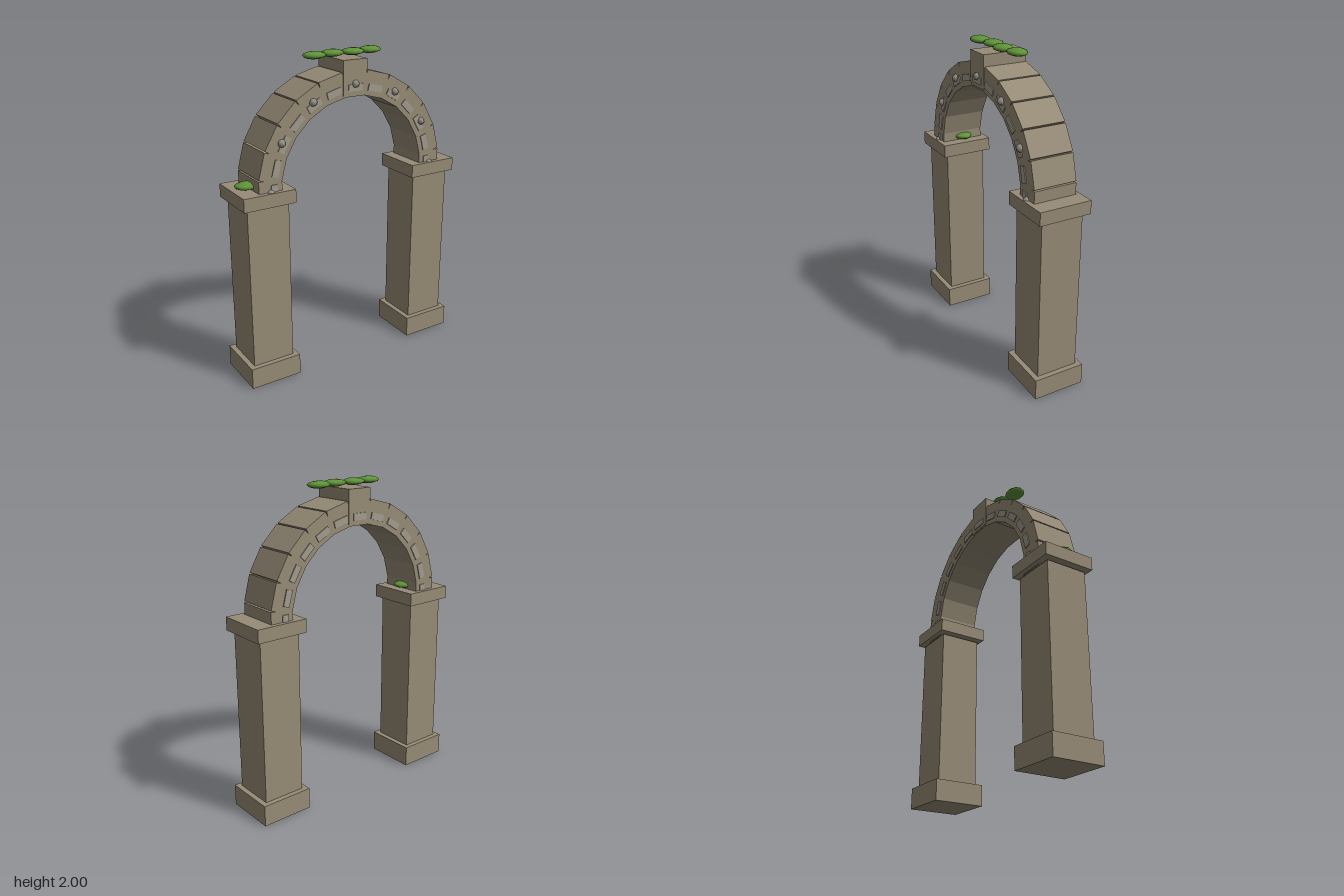
import * as THREE from 'three';

export function createModel() {
  const model = new THREE.Group();
  model.name = 'stoneArch';
  const mat = (color) => new THREE.MeshStandardMaterial({ color });
  const stone = mat(0x978c77), inlay = mat(0xa39d8f), studStone = mat(0x96928a), leafGreen = mat(0x5f9438);

  const add = (parent, name, geometry, material, x, y, z) => {
    const mesh = new THREE.Mesh(geometry, material);
    mesh.name = name;
    mesh.position.set(x, y, z);
    parent.add(mesh);
    return mesh;
  };
  const box = (w, h, d) => new THREE.BoxGeometry(w, h, d);

  // Pillars: plinth, six stacked blocks, capital
  const blocks = 6, shaftBottom = 0.135, shaftTop = 1.15;
  const blockHeight = (shaftTop - shaftBottom) / blocks;
  for (const side of [-1, 1]) {
    const pillar = new THREE.Group();
    pillar.name = side > 0 ? 'leftPillar' : 'rightPillar';
    pillar.position.x = side * 0.593;
    model.add(pillar);
    add(pillar, 'plinth', box(0.335, 0.135, 0.335), stone, 0, 0.0675, 0);
    for (let i = 0; i < blocks; i++) {
      add(pillar, 'shaftBlock', box(0.27, blockHeight, 0.27), stone, 0, shaftBottom + (i + 0.5) * blockHeight, 0);
    }
    add(pillar, 'capital', box(0.335, 0.083, 0.335), stone, 0, 1.203, 0);
  }

  // Arch ring: wedge stones every 15 degrees, with inlays and studs
  const centreY = 1.236;
  const stoneGeo = box(0.15, 0.162, 0.276);
  const inlayGeo = box(0.042, 0.1, 0.012);
  const studGeo = new THREE.SphereGeometry(0.024, 8, 6);
  for (let i = 0; i <= 12; i++) {
    const isKey = i === 6;
    const voussoir = new THREE.Group();
    voussoir.name = 'archStone' + i;
    voussoir.position.y = centreY;
    voussoir.rotation.z = (i * Math.PI) / 12;
    model.add(voussoir);
    add(voussoir, 'wedge', stoneGeo, stone, 0.575, 0, 0);
    for (const face of [-1, 1]) {
      add(voussoir, 'inlay', inlayGeo, inlay, 0.553, 0, face * (isKey ? 0.141 : 0.138));
    }
    if (i % 2 === 0) add(voussoir, 'stud', studGeo, studStone, 0.575, 0, 0.141);
  }
  add(model, 'keystone', box(0.165, 0.208, 0.284), stone, 0, 1.85, 0);

  // Leaves: a row over the keystone and a pair on one capital
  const leafGeo = new THREE.SphereGeometry(1, 10, 6);
  const leaves = [
    [-0.203, 1.978, 0.014], [-0.068, 1.978, -0.006], [0.068, 1.978, 0.006], [0.203, 1.978, -0.01],
    [-0.67, 1.268, 0.014], [-0.515, 1.268, -0.006],
  ];
  for (const [x, y, z] of leaves) {
    add(model, 'leaf', leafGeo, leafGreen, x, y, z).scale.set(0.075, 0.022, 0.06);
  }
  return model;
}
